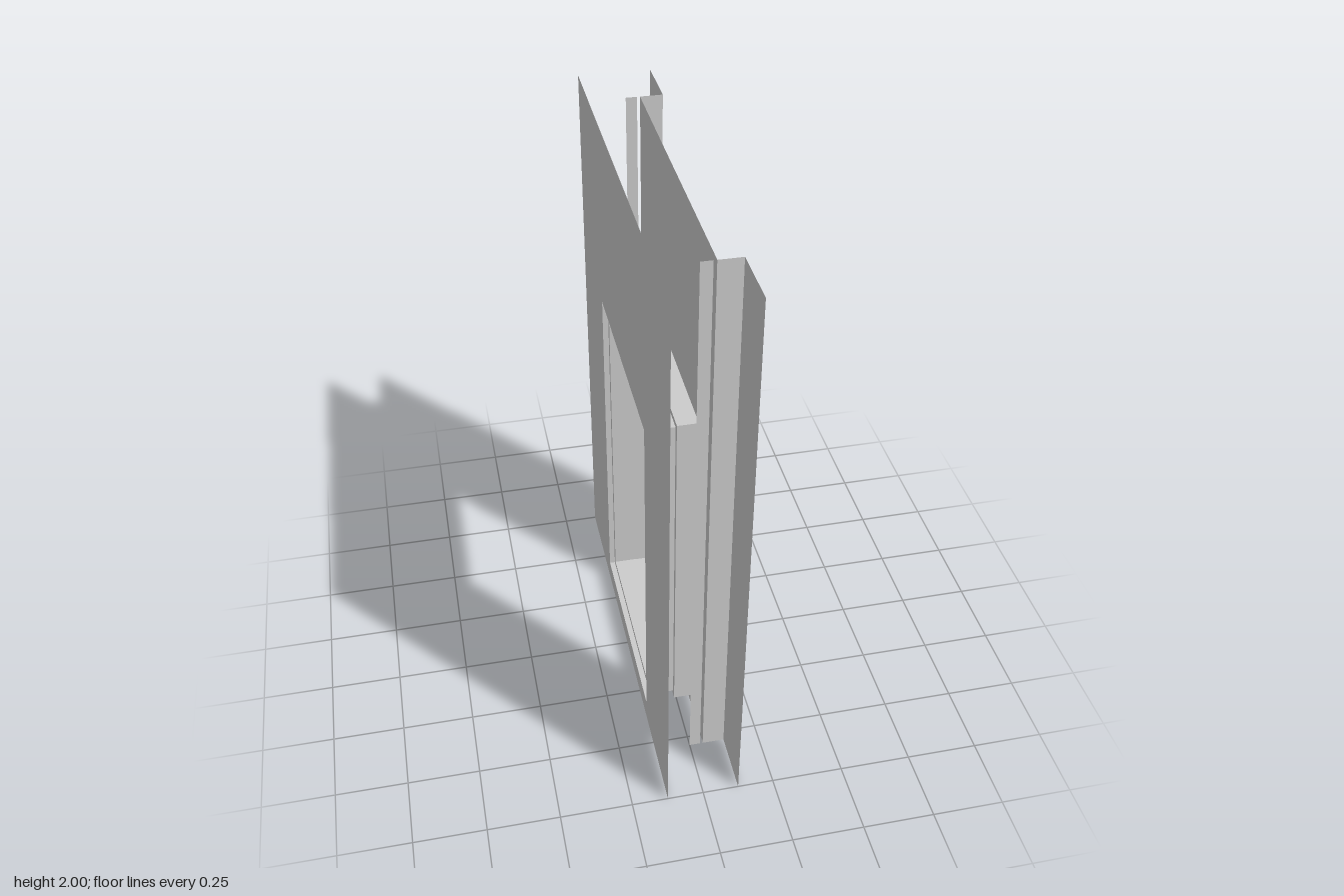
import * as THREE from 'three';

const material = new THREE.MeshStandardMaterial({ color: 0xcccccc, side: THREE.DoubleSide, flatShading: true });

// Opening: half width, bottom and top
const OPEN = { half: 0.375, bottom: 0.077, top: 1.325 };
const HEIGHT = 2;
const OUTER_X = -0.125, PANEL_X = 0.048, FLANGE_X = 0.125;
const RETURN_Z = 0.538, OUTER_Z = 0.75;

function add(group, name, geometry) {
  const mesh = new THREE.Mesh(geometry, material);
  mesh.name = name;
  group.add(mesh);
  return mesh;
}

function rectPoints(z0, z1, y0, y1) {
  return [[z0, y0], [z1, y0], [z1, y1], [z0, y1]].map(([z, y]) => new THREE.Vector2(z, y));
}

// Thin sheet in the z-y plane at a given x, with an optional doorway
function sheet(x, z0, z1, withOpening) {
  const shape = new THREE.Shape(rectPoints(z0, z1, 0, HEIGHT));
  if (withOpening) {
    shape.holes.push(new THREE.Path(rectPoints(-OPEN.half, OPEN.half, OPEN.bottom, OPEN.top)));
  }
  return new THREE.ShapeGeometry(shape).rotateY(-Math.PI / 2).translate(x, 0, 0);
}

// Thin upright sheet in the x-y plane at a given z
function sideSheet(x0, x1, z) {
  return new THREE.PlaneGeometry(x1 - x0, HEIGHT).translate((x0 + x1) / 2, HEIGHT / 2, z);
}

// Lining swept round the opening from [x, inset] steps
function liningGeometry(profile) {
  const positions = [];
  const ring = ([x, inset]) =>
    rectPoints(-OPEN.half + inset, OPEN.half - inset, OPEN.bottom + inset, OPEN.top - inset)
      .map((p) => [x, p.y, p.x]);
  for (let i = 0; i < profile.length - 1; i++) {
    const a = ring(profile[i]), b = ring(profile[i + 1]);
    for (let k = 0; k < 4; k++) {
      const n = (k + 1) % 4;
      positions.push(...a[k], ...b[k], ...b[n], ...a[k], ...b[n], ...a[n]);
    }
  }
  const geometry = new THREE.BufferGeometry();
  geometry.setAttribute('position', new THREE.Float32BufferAttribute(positions, 3));
  geometry.computeVertexNormals();
  return geometry;
}

export function createModel() {
  const model = new THREE.Group();
  model.name = 'doorwayWall';

  // Two wall faces sharing the doorway
  add(model, 'outerWallFace', sheet(OUTER_X, -OUTER_Z, OUTER_Z, true));
  add(model, 'recessedPanel', sheet(PANEL_X, -RETURN_Z, RETURN_Z, true));

  // Lining with a raised stop
  add(model, 'doorwayLining', liningGeometry([
    [OUTER_X, 0], [-0.105, 0], [-0.105, 0.018], [-0.022, 0.018], [-0.022, 0], [PANEL_X, 0],
  ]));

  // Side flanges, their returns, and the edge strips behind the panel
  for (const side of [1, -1]) {
    const name = side > 0 ? 'left' : 'right';
    const z = side * RETURN_Z;
    add(model, name + 'Flange', sheet(FLANGE_X, Math.min(z, side * OUTER_Z), Math.max(z, side * OUTER_Z), false));
    add(model, name + 'Return', sideSheet(PANEL_X, FLANGE_X, z));
    add(model, name + 'BackEdgeStrip', sideSheet(0, PANEL_X - 0.01, z));
  }
  return model;
}
